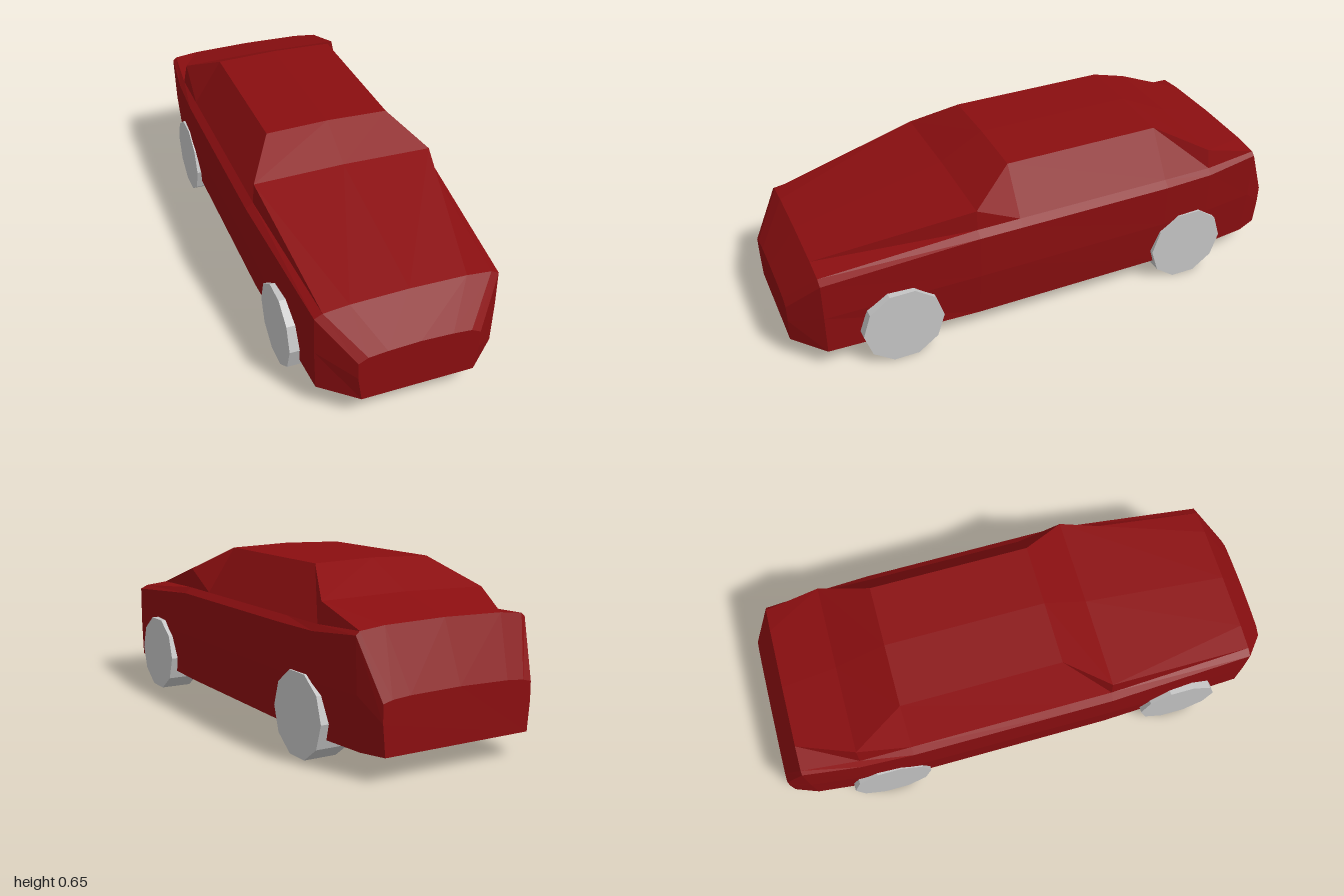
import * as THREE from 'three';

const paint = new THREE.MeshStandardMaterial({ color: 0x8a0e10, side: THREE.DoubleSide, flatShading: true });
paint.name = 'dark red paint';
const wheelGrey = new THREE.MeshStandardMaterial({ color: 0xc4c4c4, flatShading: true });
wheelGrey.name = 'light grey';

// Half sections from nose to tail: z, then [x, y] of sill, side, shoulder, belt, top edge, centre line
const sections = [
  [1.0, [[0.21, 0.09], [0.225, 0.19], [0.225, 0.255], [0.19, 0.273], [0.12, 0.28], [0, 0.285]]],
  [0.89, [[0.335, 0.09], [0.34, 0.25], [0.34, 0.395], [0.31, 0.41], [0.215, 0.42], [0, 0.425]]],
  [0.3, [[0.36, 0.09], [0.382, 0.28], [0.384, 0.453], [0.356, 0.475], [0.35, 0.553], [0, 0.56]]],
  [0.13, [[0.36, 0.09], [0.382, 0.28], [0.384, 0.453], [0.356, 0.475], [0.242, 0.648], [0, 0.655]]],
  [-0.49, [[0.36, 0.09], [0.38, 0.28], [0.383, 0.453], [0.356, 0.475], [0.242, 0.648], [0, 0.655]]],
  [-0.69, [[0.355, 0.09], [0.372, 0.28], [0.374, 0.453], [0.355, 0.475], [0.34, 0.55], [0, 0.557]]],
  [-0.91, [[0.33, 0.09], [0.345, 0.28], [0.35, 0.472], [0.335, 0.485], [0.24, 0.495], [0, 0.5]]],
  [-1.0, [[0.295, 0.09], [0.305, 0.2], [0.305, 0.265], [0.27, 0.275], [0.2, 0.281], [0, 0.285]]],
];

// Loft a shell that is open underneath and closed at both ends
function bodyShell() {
  const positions = [];
  const index = [];
  const count = 11;
  for (const [z, half] of sections) {
    const left = half.map(([x, y]) => [-x, y]);
    const right = half.slice(0, -1).reverse();
    for (const [x, y] of [...left, ...right]) positions.push(x, y, z);
  }
  for (let i = 0; i < sections.length - 1; i++) {
    for (let j = 0; j < count - 1; j++) {
      const a = i * count + j, b = a + 1, d = a + count, c = d + 1;
      index.push(a, b, c, a, c, d);
    }
  }
  const last = (sections.length - 1) * count;
  for (let j = 1; j < count - 1; j++) {
    index.push(0, j + 1, j);
    index.push(last, last + j, last + j + 1);
  }
  const geometry = new THREE.BufferGeometry();
  geometry.setAttribute('position', new THREE.Float32BufferAttribute(positions, 3));
  geometry.setIndex(index);
  const flat = geometry.toNonIndexed();
  flat.computeVertexNormals();
  return flat;
}

export function createModel() {
  const car = new THREE.Group();
  car.name = 'car';

  const body = new THREE.Mesh(bodyShell(), paint);
  body.name = 'body';
  car.add(body);

  // Ten-sided wheels, with a corner pointing straight forward
  const wheelGeometry = new THREE.CylinderGeometry(0.157, 0.157, 0.127, 10);
  wheelGeometry.rotateZ(Math.PI / 2);
  for (const [end, z] of [['front', 0.608], ['rear', -0.602]]) {
    for (const [side, sign] of [['Left', 1], ['Right', -1]]) {
      const wheel = new THREE.Mesh(wheelGeometry, wheelGrey);
      wheel.name = `${end}${side}Wheel`;
      wheel.position.set(sign * 0.3195, 0.15, z);
      car.add(wheel);
    }
  }
  return car;
}
